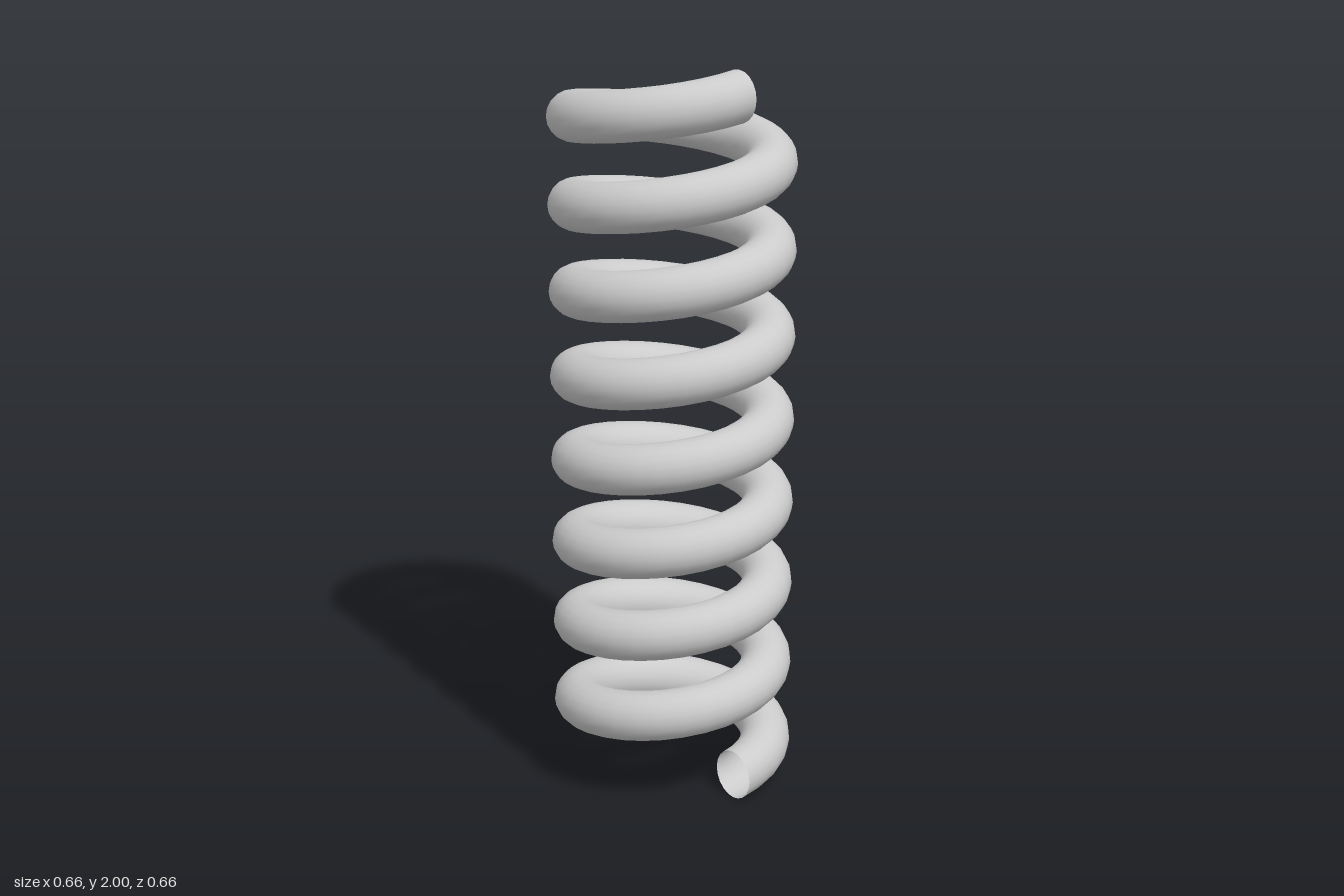
import * as THREE from 'three';
import { mergeVertices } from 'three/addons/utils/BufferGeometryUtils.js';

const COIL_RADIUS = 0.26;
const WIRE_RADIUS = 0.068;
const TURNS = 8;
const SEGMENTS_PER_TURN = 32;
const RISE = 2 - 2 * WIRE_RADIUS;

// A ring wound several times over, lifted steadily along its length into a helix
function coilGeometry() {
  const ring = new THREE.TorusGeometry(
    COIL_RADIUS, WIRE_RADIUS, 20, SEGMENTS_PER_TURN * TURNS, Math.PI * 2 * TURNS
  );
  ring.rotateX(-Math.PI / 2);

  const position = ring.attributes.position;
  const uv = ring.attributes.uv;
  for (let i = 0; i < position.count; i++) {
    position.setY(i, position.getY(i) + WIRE_RADIUS + RISE * uv.getX(i));
  }

  // Weld the seam along the wire so that it shades smoothly all round
  ring.deleteAttribute('uv');
  ring.deleteAttribute('normal');
  const coil = mergeVertices(ring, 1e-5);
  coil.computeVertexNormals();
  return coil;
}

export function createModel() {
  const model = new THREE.Group();
  model.name = 'coilSpring';

  // The wire is a hollow tube, open at both ends
  const material = new THREE.MeshStandardMaterial({ color: 0xcccccc, side: THREE.DoubleSide });
  const coil = new THREE.Mesh(coilGeometry(), material);
  coil.name = 'springCoil';
  model.add(coil);

  return model;
}
